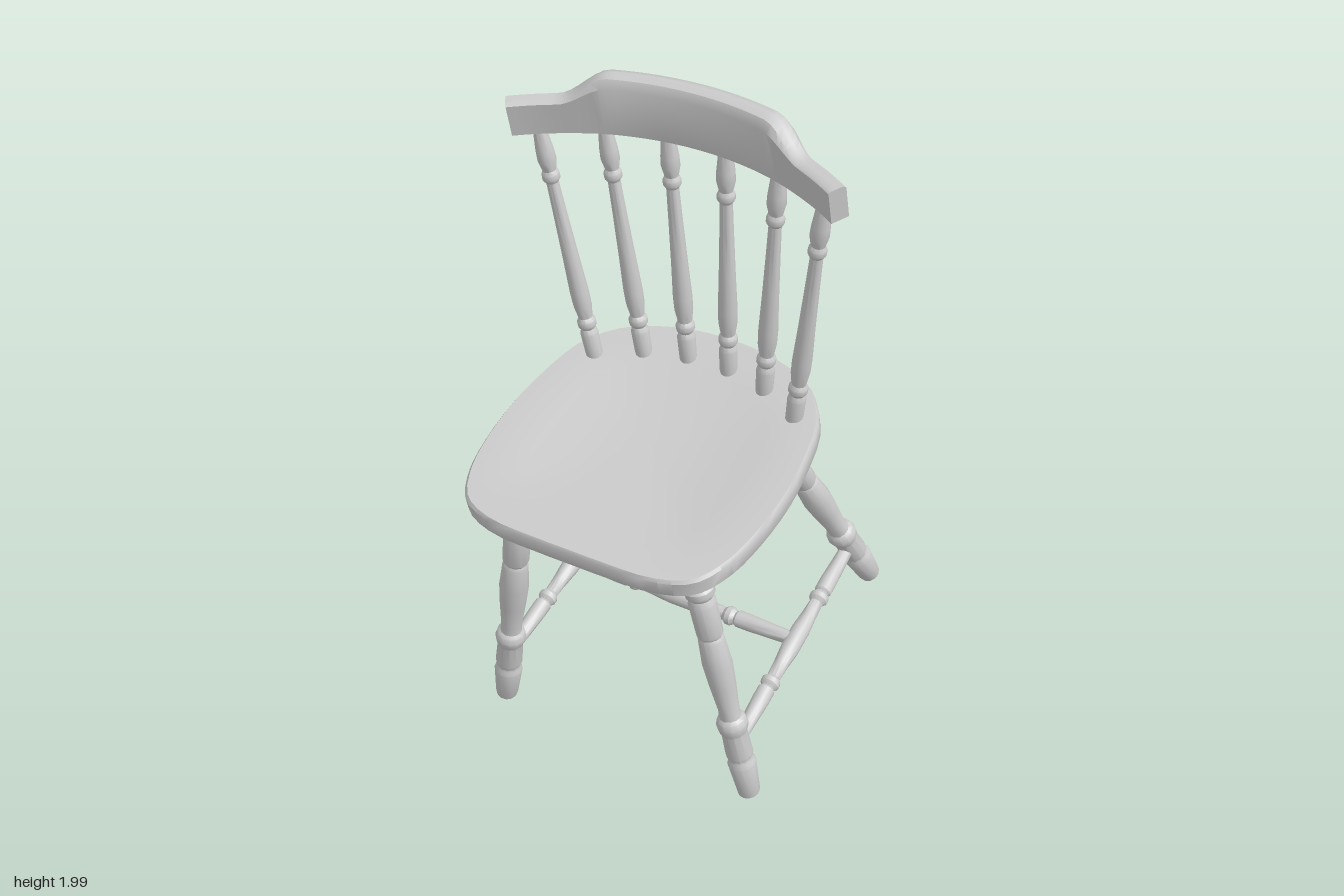
import * as THREE from 'three';
import { toCreasedNormals } from 'three/addons/utils/BufferGeometryUtils.js';

const material = new THREE.MeshStandardMaterial({ color: 0xcccccc });
const V = (x, y, z) => new THREE.Vector3(x, y, z);
const { lerp, smoothstep } = THREE.MathUtils;

// Skin closed rings of points; a ring collapsed to one point makes a cap.
function loft(name, rings, crease) {
  const pos = [];
  const tri = (a, b, c) => {
    if (a.distanceTo(b) < 1e-6 || b.distanceTo(c) < 1e-6 || c.distanceTo(a) < 1e-6) return;
    for (const p of [a, b, c]) pos.push(p.x, p.y, p.z);
  };
  for (let i = 0; i < rings.length - 1; i++) {
    const n = rings[i].length;
    for (let j = 0; j < n; j++) {
      const k = (j + 1) % n;
      tri(rings[i][j], rings[i][k], rings[i + 1][k]);
      tri(rings[i][j], rings[i + 1][k], rings[i + 1][j]);
    }
  }
  const geo = new THREE.BufferGeometry();
  geo.setAttribute('position', new THREE.Float32BufferAttribute(pos, 3));
  const mesh = new THREE.Mesh(toCreasedNormals(geo, crease), material);
  mesh.name = name;
  return mesh;
}

// Lathe-turned rod from a to b; profile is [fraction of length, radius].
function turned(name, a, b, profile) {
  const len = a.distanceTo(b);
  const pts = profile.map(([t, r]) => new THREE.Vector2(r, t * len));
  pts.unshift(new THREE.Vector2(0, 0));
  pts.push(new THREE.Vector2(0, len));
  const geo = toCreasedNormals(new THREE.LatheGeometry(pts, 12), 0.6);
  const mesh = new THREE.Mesh(geo, material);
  mesh.name = name;
  mesh.position.copy(a);
  mesh.quaternion.setFromUnitVectors(V(0, 1, 0), b.clone().sub(a).normalize());
  return mesh;
}

const LEG = [
  [0, 0.031], [0.01, 0.034], [0.13, 0.043], [0.145, 0.038], [0.155, 0.036], [0.17, 0.041], [0.26, 0.038],
  [0.275, 0.044], [0.295, 0.047], [0.315, 0.042], [0.325, 0.033], [0.35, 0.031], [0.45, 0.039], [0.54, 0.044],
  [0.64, 0.038], [0.65, 0.034], [0.66, 0.039], [0.78, 0.041], [0.8, 0.035], [0.815, 0.044], [0.835, 0.044],
  [0.85, 0.031], [0.88, 0.033], [0.94, 0.036], [1, 0.034],
];
const SPINDLE = [
  [0, 0.025], [0.12, 0.027], [0.14, 0.021], [0.155, 0.028], [0.175, 0.028], [0.19, 0.021], [0.24, 0.027],
  [0.3, 0.028], [0.45, 0.024], [0.65, 0.02], [0.77, 0.018], [0.785, 0.026], [0.805, 0.026], [0.82, 0.02],
  [0.86, 0.027], [0.9, 0.026], [1, 0.018],
];
// Stretchers are symmetrical about the middle.
const HALF = [
  [0, 0.02], [0.1, 0.023], [0.2, 0.026], [0.25, 0.026], [0.26, 0.02], [0.275, 0.029], [0.295, 0.029],
  [0.31, 0.02], [0.38, 0.023], [0.45, 0.028],
];
const STRETCHER = [...HALF, ...HALF.map(([t, r]) => [1 - t, r]).reverse()];

// Shield-shaped seat with rounded edge and dished top.
function seat() {
  const half = [
    [0, 0.572], [0.1, 0.572], [0.27, 0.563], [0.37, 0.52], [0.42, 0.43], [0.442, 0.33], [0.452, 0.17],
    [0.438, 0.02], [0.4, -0.135], [0.313, -0.24], [0.17, -0.302], [0, -0.322],
  ];
  const all = [...half, ...half.slice(1, -1).reverse().map(([x, z]) => [-x, z])];
  const curve = new THREE.CatmullRomCurve3(all.map(([x, z]) => V(x, 0, z)), true);
  const outline = curve.getPoints(64).slice(0, -1);
  const cz = 0.12;
  const levels = [
    [0, -0.064], [0.985, -0.064], [1, -0.055], [1, -0.009], [0.985, 0], [0.84, 0],
    [0.68, -0.008], [0.45, -0.021], [0.22, -0.026], [0, -0.027],
  ];
  const rings = levels.map(([s, y]) => outline.map(p => V(p.x * s, y, cz + (p.z - cz) * s)));
  return loft('seat', rings, 0.7);
}

// Curved top rail; its raised middle rolls over to the back.
const R = 0.935, ARC_Z = 0.61, RAIL_Y = 0.722;
const onArc = (a, d, y) => V(Math.sin(a) * (R + d), y, ARC_Z - Math.cos(a) * (R + d));
function crestRail() {
  const low = [
    [-0.026, 0], [0.026, 0], [0.026, 0.05], [0.026, 0.06], [0.026, 0.08], [0.026, 0.095],
    [0.018, 0.103], [0, 0.103], [-0.018, 0.103], [-0.026, 0.098],
  ];
  const high = [
    [-0.024, 0], [0.026, 0], [0.028, 0.088], [0.042, 0.092], [0.06, 0.108], [0.064, 0.135],
    [0.05, 0.164], [0.025, 0.176], [-0.002, 0.172], [-0.02, 0.15],
  ];
  const rings = [], end = 0.57, n = 48;
  for (let i = 0; i <= n; i++) {
    const a = lerp(-end, end, i / n);
    const u = Math.abs(Math.sin(a) * R);
    const k = 1 - smoothstep(u, 0.24, 0.38);
    const lift = 0.012 * (u / 0.5) ** 2;
    rings.push(low.map(([d, y], j) => onArc(a, lerp(d, high[j][0], k), RAIL_Y + lift + lerp(y, high[j][1], k))));
  }
  const cap = ring => {
    const c = ring.reduce((s, p) => s.add(p), V(0, 0, 0)).divideScalar(ring.length);
    return ring.map(() => c);
  };
  return loft('crestRail', [cap(rings[0]), ...rings, cap(rings[n])], 0.7);
}

export function createModel() {
  const chair = new THREE.Group();
  chair.name = 'chair';
  chair.add(seat(), crestRail());

  const mids = [];
  for (const [side, label] of [[1, 'left'], [-1, 'right']]) {
    // Splayed legs
    const frontFoot = V(side * 0.43, -0.93, 0.53), frontTop = V(side * 0.272, -0.03, 0.393);
    const backFoot = V(side * 0.41, -0.865, -0.308), backTop = V(side * 0.262, -0.03, -0.07);
    chair.add(turned(label + 'FrontLeg', frontFoot, frontTop, LEG));
    chair.add(turned(label + 'BackLeg', backFoot, backTop, LEG));

    // Side stretcher
    const s0 = frontFoot.clone().lerp(frontTop, 0.215), s1 = backFoot.clone().lerp(backTop, 0.21);
    chair.add(turned(label + 'Stretcher', s0, s1, STRETCHER));
    mids.push(s0.clone().lerp(s1, 0.5));

    // Back spindles, fanning out towards the rail
    [[0.067, -0.205, 0.09], [0.2, -0.175, 0.27], [0.33, -0.11, 0.44]].forEach(([x, z, top], i) => {
      const a = Math.asin(top / R) * side;
      chair.add(turned(`${label}Spindle${i + 1}`, V(side * x, -0.02, z), onArc(a, 0, RAIL_Y + 0.02), SPINDLE));
    });
  }
  chair.add(turned('crossStretcher', mids[0], mids[1], STRETCHER));

  // Tipped forward and turned slightly to its left
  chair.rotation.set(0.214, 0.218, -0.02);
  chair.position.set(-0.003, 1.04, 0);
  const model = new THREE.Group();
  model.name = 'tiltedChair';
  model.add(chair);
  return model;
}
